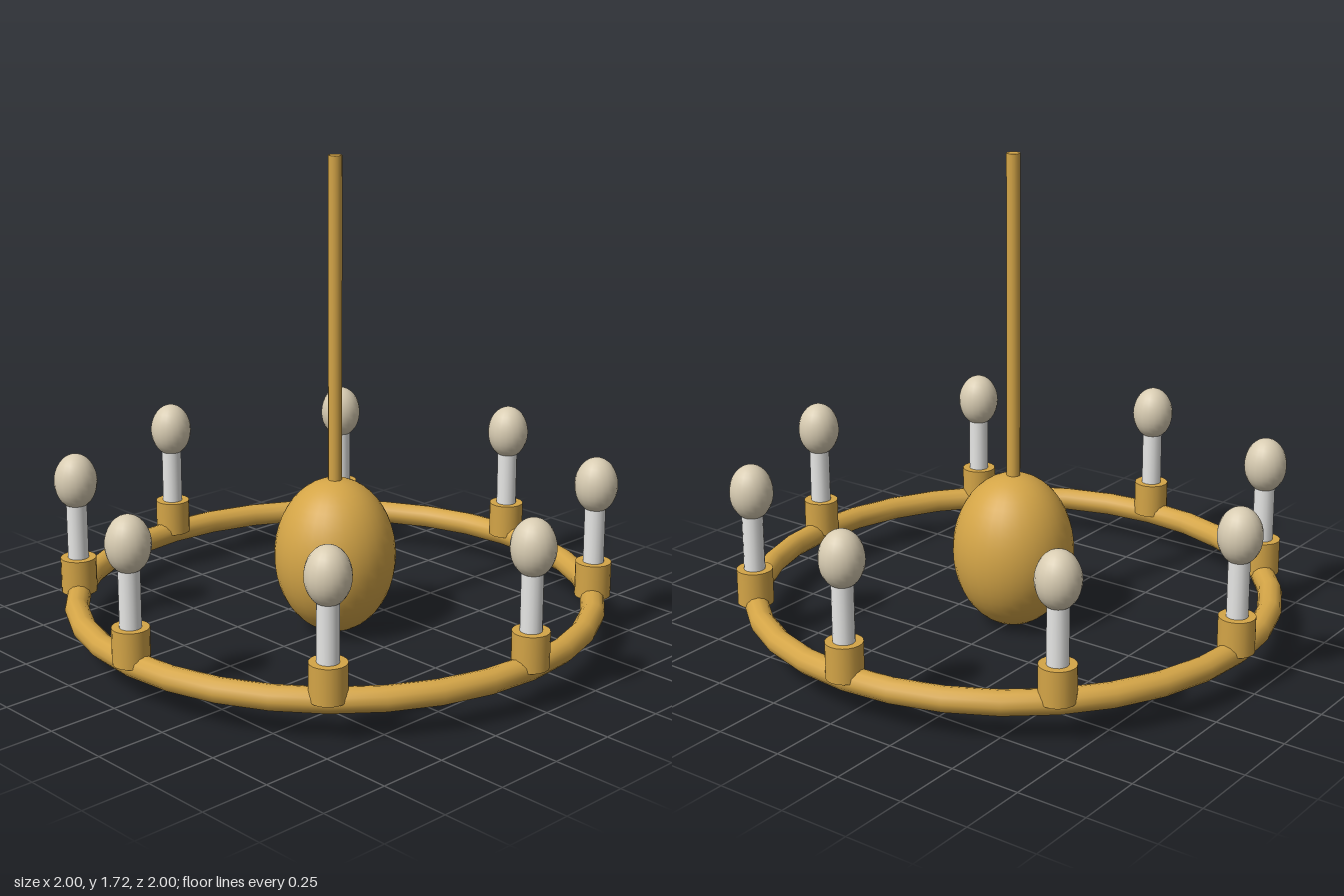
import * as THREE from 'three';

const brass = new THREE.MeshStandardMaterial({ name: 'brass', color: 0xd4a547 });
const white = new THREE.MeshStandardMaterial({ name: 'candle white', color: 0xe8e8e6 });
const cream = new THREE.MeshStandardMaterial({ name: 'bulb cream', color: 0xd8ccb2 });

const RING_RADIUS = 0.923;
const LAMPS = 8;

function add(parent, name, geometry, material, y) {
  const mesh = new THREE.Mesh(geometry, material);
  mesh.name = name;
  mesh.position.y = y;
  parent.add(mesh);
  return mesh;
}

export function createModel() {
  const model = new THREE.Group();
  model.name = 'chandelier';

  // Hanging rod and egg-shaped body
  add(model, 'rod', new THREE.CylinderGeometry(0.0245, 0.0245, 1.2, 16), brass, 1.117);
  add(model, 'body', new THREE.SphereGeometry(0.218, 32, 24).scale(1, 1.3, 1), brass, 0.284);

  // Horizontal ring
  add(model, 'ring', new THREE.TorusGeometry(RING_RADIUS, 0.043, 12, 32).rotateX(Math.PI / 2), brass, 0.135);

  // Candle lamps around the ring
  const cup = new THREE.CylinderGeometry(0.064, 0.064, 0.127, 20);
  const candle = new THREE.CylinderGeometry(0.0375, 0.0375, 0.26, 16);
  const bulb = new THREE.SphereGeometry(0.077, 20, 16).scale(1, 1.3, 1);
  for (let i = 0; i < LAMPS; i++) {
    const angle = (i / LAMPS) * Math.PI * 2;
    const lamp = new THREE.Group();
    lamp.name = 'lamp' + (i + 1);
    lamp.position.set(Math.cos(angle) * RING_RADIUS, 0, Math.sin(angle) * RING_RADIUS);
    add(lamp, 'cup', cup, brass, 0.2025);
    add(lamp, 'candle', candle, white, 0.36);
    add(lamp, 'bulb', bulb, cream, 0.552);
    model.add(lamp);
  }
  return model;
}
